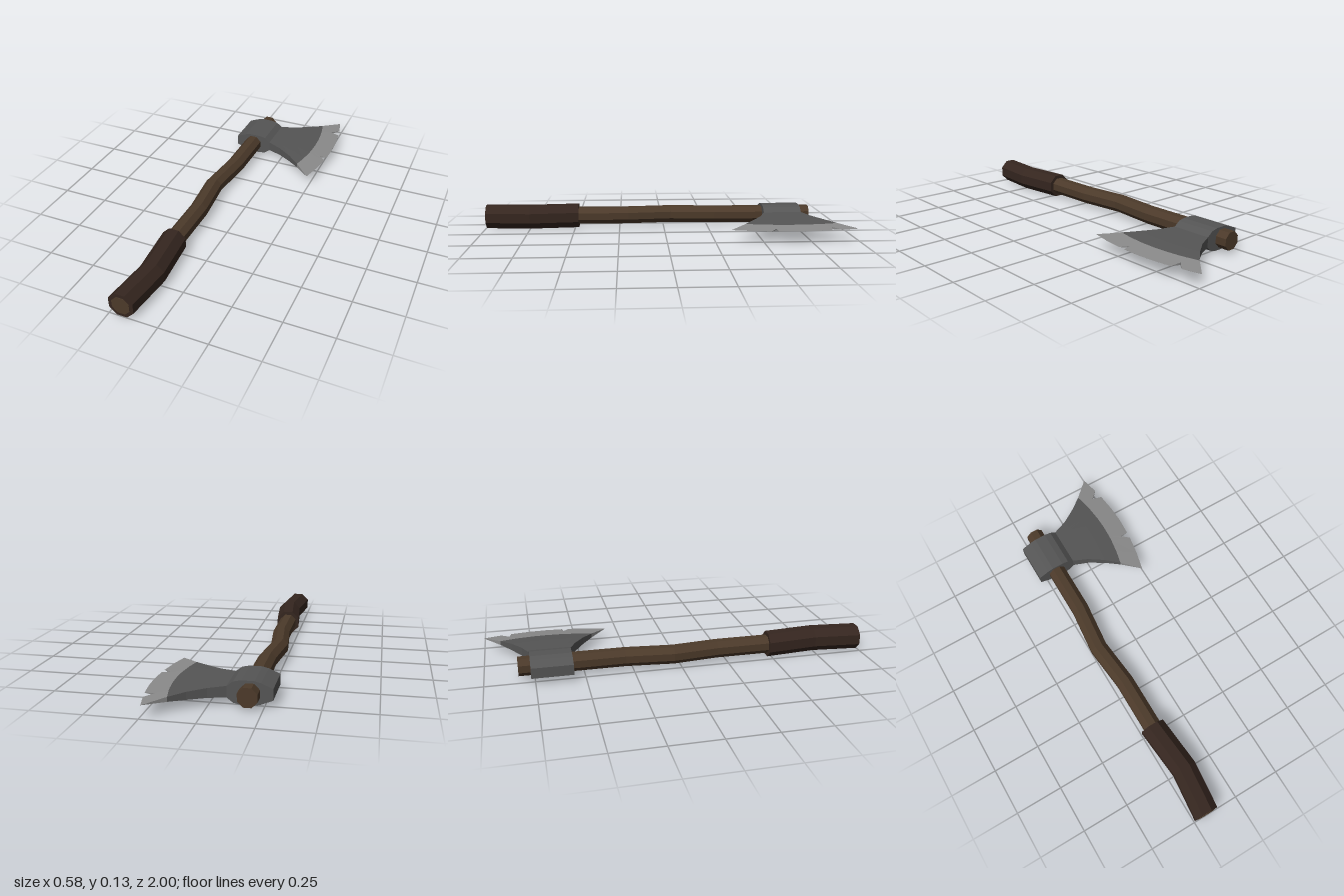
import * as THREE from 'three';

const MID_Y = 0.065, HEAD_Z = -0.665;
const mat = (color) => new THREE.MeshStandardMaterial({ color, flatShading: true, roughness: 0.9 });

// Eight-sided shaft that follows [x, z] points, listed from front to back
function shaft(name, path, apothem, material) {
  const n = path.length - 1, r = apothem / Math.cos(Math.PI / 8);
  const geo = new THREE.CylinderGeometry(r, r, 1, 8, n, false, Math.PI / 8);
  geo.rotateX(Math.PI / 2);
  const p = geo.attributes.position;
  for (let i = 0; i < p.count; i++) {
    const [x, z] = path[Math.round((0.5 - p.getZ(i)) * n)];
    p.setXYZ(i, p.getX(i) + x, p.getY(i) + MID_Y, z);
  }
  const flat = geo.toNonIndexed();
  flat.computeVertexNormals();
  const mesh = new THREE.Mesh(flat, material);
  mesh.name = name;
  return mesh;
}

// Closed plate: rows of [x, halfThickness, z], mirrored top to bottom, walled all round
function plate(name, rows, material) {
  const pos = [];
  const up = ([x, t, z]) => [x, t, z], down = ([x, t, z]) => [x, -t, z];
  const quad = (a, b, c, d) => pos.push(...a, ...b, ...c, ...a, ...c, ...d);
  const wall = (p, q) => quad(up(q), up(p), down(p), down(q));
  const m = rows.length - 1, n = rows[0].length - 1;
  for (let i = 0; i < m; i++) {
    for (let j = 0; j < n; j++) {
      const c = [rows[i][j], rows[i][j + 1], rows[i + 1][j + 1], rows[i + 1][j]];
      quad(...c.map(up));
      quad(...c.map(down).reverse());
    }
    wall(rows[i + 1][0], rows[i][0]);
    wall(rows[i][n], rows[i + 1][n]);
  }
  for (let j = 0; j < n; j++) {
    wall(rows[0][j], rows[0][j + 1]);
    wall(rows[m][j + 1], rows[m][j]);
  }
  const geo = new THREE.BufferGeometry();
  geo.setAttribute('position', new THREE.Float32BufferAttribute(pos, 3));
  geo.computeVertexNormals();
  const mesh = new THREE.Mesh(geo, material);
  mesh.name = name;
  mesh.position.set(0, MID_Y, HEAD_Z);
  return mesh;
}

export function createModel() {
  const group = new THREE.Group();
  group.name = 'axe';

  // Wooden handle and thicker wrapped grip
  const wood = mat(0x4c3a2a);
  group.add(shaft('handle', [[-0.185, 1], [-0.16, 0.75], [-0.185, 0.48], [-0.185, 0.2],
    [-0.21, -0.04], [-0.185, -0.29], [-0.185, -0.83]], 0.0455, wood));
  group.add(shaft('grip', [[-0.185, 0.997], [-0.16, 0.75], [-0.185, 0.48]], 0.0635, mat(0x35261f)));

  // Cutting edge outline [x, z] with two notches
  const edge = [[0.238, -0.335], [0.26, -0.24], [0.217, -0.197], [0.27, -0.187], [0.282, -0.09],
    [0.286, 0], [0.281, 0.094], [0.238, 0.099], [0.278, 0.131], [0.262, 0.235], [0.238, 0.335]];
  const spread = edge.map(([, z]) => z / 0.335);

  // Head stations: x at the sides, forward bulge, half width, half thickness
  const stations = [[-0.29, 0, 0.105, 0.027], [-0.235, 0, 0.105, 0.05], [-0.205, 0, 0.105, 0.0575],
    [-0.145, 0, 0.105, 0.0575], [-0.11, 0, 0.105, 0.05], [-0.08, 0, 0.105, 0.027],
    [0, 0.005, 0.138, 0.023], [0.08, 0.017, 0.19, 0.0185], [0.148, 0.032, 0.246, 0.0115]];
  const rows = stations.map(([x, bulge, w, t]) =>
    spread.map((v) => [x + bulge * (1 - v * v), t, v * w]));
  group.add(plate('axeHead', rows, mat(0x555555)));

  // Bevel thins out to the cutting edge; notch bottoms keep some thickness
  const inner = rows[rows.length - 1];
  const outer = edge.map(([x, z], j) => {
    const [xi, t] = inner[j], xe = 0.286 - 0.048 * spread[j] ** 2;
    return [x, Math.max(0, t * (xe - x) / (xe - xi)), z];
  });
  group.add(plate('bladeEdge', [inner, outer], mat(0x8a8a8a)));

  return group;
}
